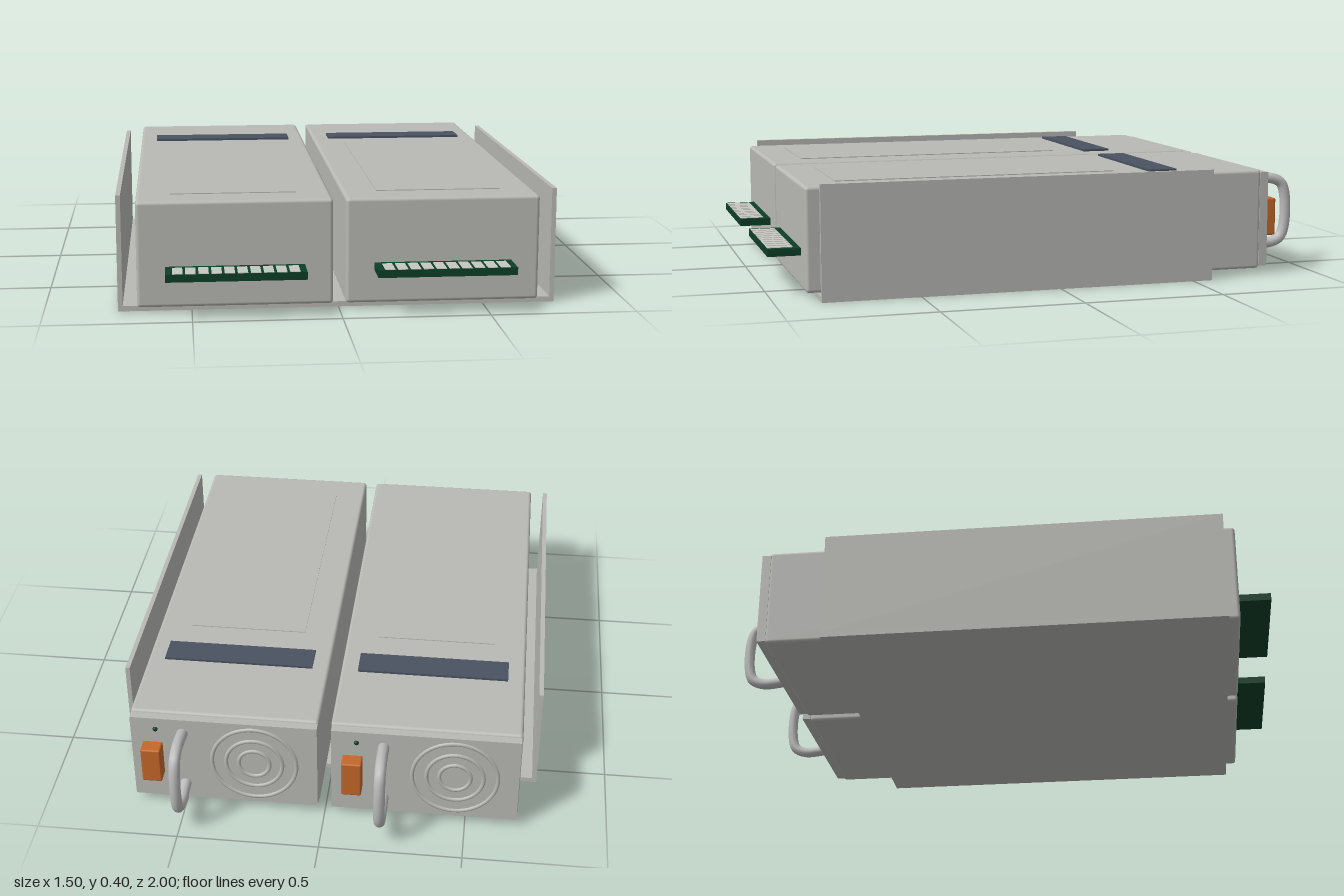
import * as THREE from 'three';
import { RoundedBoxGeometry } from 'three/addons/geometries/RoundedBoxGeometry.js';

const mat = (name, color) => {
  const m = new THREE.MeshStandardMaterial({ color });
  m.name = name;
  return m;
};

export function createModel() {
  const metal = mat('sheet metal', 0xb9b9b5);
  const steel = mat('handle steel', 0xbcbcbc);
  const slate = mat('slate label', 0x4a5262);
  const orange = mat('orange latch', 0xc4672b);
  const green = mat('circuit green', 0x0d3f27);
  const contact = mat('contact', 0xc6c8c0);

  const add = (parent, name, geometry, material, x = 0, y = 0, z = 0) => {
    const mesh = new THREE.Mesh(geometry, material);
    mesh.name = name;
    mesh.position.set(x, y, z);
    parent.add(mesh);
    return mesh;
  };
  const box = (w, h, d) => new THREE.BoxGeometry(w, h, d);

  const model = new THREE.Group();
  model.name = 'powerSupplyPair';

  // Open tray: floor and two side walls
  const tray = new THREE.Group();
  tray.name = 'tray';
  model.add(tray);
  add(tray, 'trayFloor', box(1.5, 0.018, 1.415), metal, 0, 0.009, 0.137);
  for (const s of [-1, 1]) {
    add(tray, s < 0 ? 'rightWall' : 'leftWall', box(0.016, 0.382, 1.415), metal, s * 0.742, 0.209, 0.137);
  }

  // Handle path, seen from the side
  const handlePath = new THREE.CatmullRomCurve3([
    [0.315, -0.8], [0.325, -0.86], [0.327, -0.92], [0.305, -0.962], [0.205, -0.98],
    [0.105, -0.962], [0.083, -0.92], [0.085, -0.86], [0.095, -0.8],
  ].map(([y, z]) => new THREE.Vector3(0, y, z)));

  for (const s of [-1, 1]) {
    const unit = new THREE.Group();
    unit.name = s < 0 ? 'rightModule' : 'leftModule';
    unit.position.x = s * 0.353;
    model.add(unit);

    // Case and rear plate
    add(unit, 'case', new RoundedBoxGeometry(0.663, 0.363, 1.672, 2, 0.012), metal, 0, 0.2025, 0.049);
    add(unit, 'rearPlate', box(0.657, 0.345, 0.032), metal, 0, 0.2025, -0.801);

    // Raised cover and label on top
    add(unit, 'topCover', box(0.43, 0.004, 1.02), metal, 0, 0.385, 0.25);
    add(unit, 'label', box(0.54, 0.009, 0.105), slate, 0, 0.3875, -0.428);

    // Edge connector with its contacts
    add(unit, 'edgeConnector', box(0.47, 0.026, 0.13), green, 0, 0.149, 0.935);
    for (let i = 0; i < 10; i++) {
      add(unit, 'contact', box(0.034, 0.003, 0.088), contact, -0.195 + i * 0.0433, 0.1625, 0.953);
    }

    // Fan guard rings
    for (const r of [0.15, 0.1, 0.055]) {
      add(unit, 'fanRing', new THREE.TorusGeometry(r, 0.008, 8, 48), metal, -0.105, 0.203, -0.815);
    }

    // Handle, release latch and status light
    add(unit, 'handle', new THREE.TubeGeometry(handlePath, 48, 0.02, 12), steel, 0.145);
    add(unit, 'latch', new RoundedBoxGeometry(0.07, 0.138, 0.06, 2, 0.006), orange, 0.253, 0.203, -0.84);
    add(unit, 'statusLight', new THREE.SphereGeometry(0.009, 12, 8), green, 0.24, 0.33, -0.817);
  }
  return model;
}
